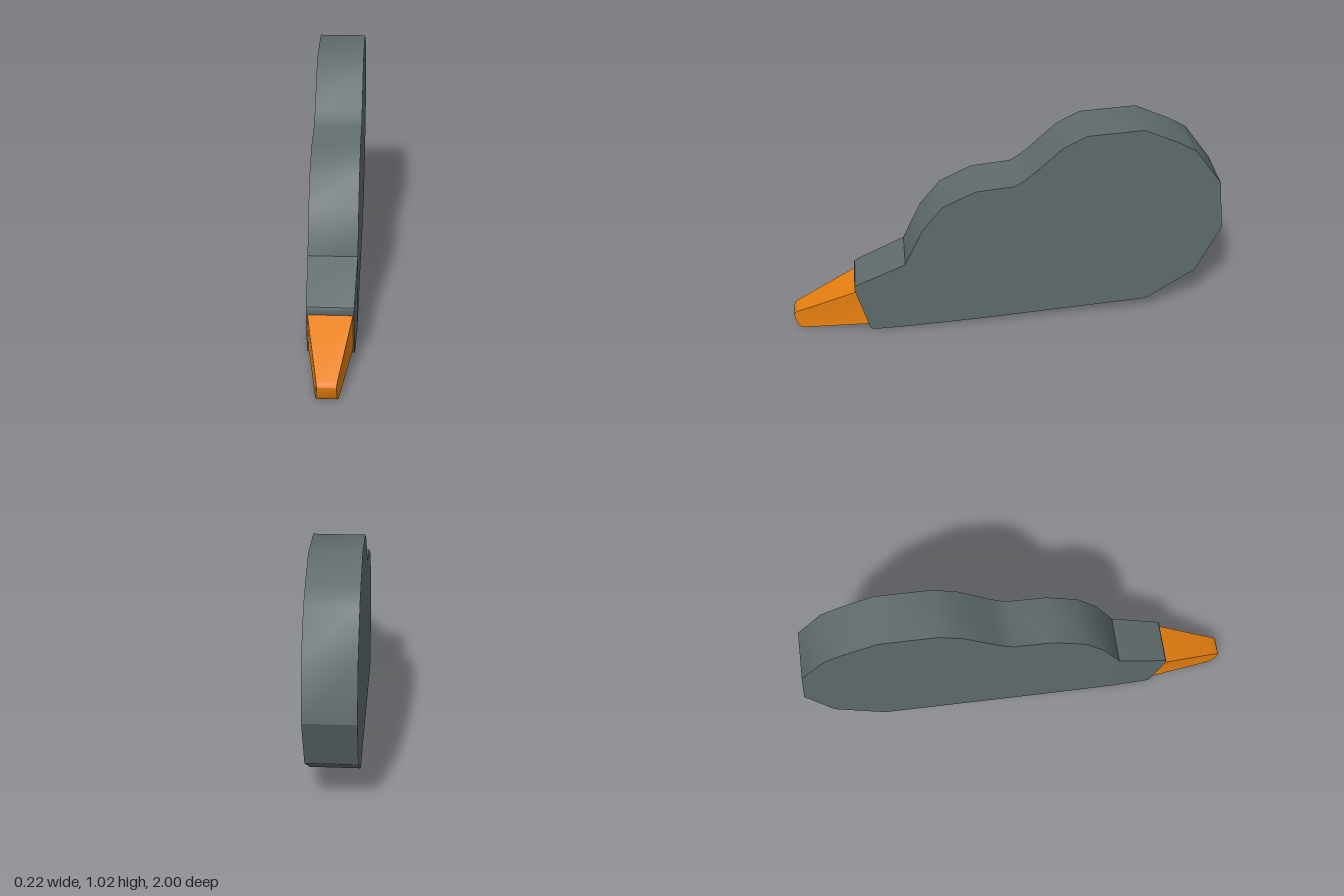
import * as THREE from 'three';
import { toCreasedNormals } from 'three/addons/utils/BufferGeometryUtils.js';

// Extrude a (z, y) side outline across x; halfWidth(z) gives the taper.
function slab(name, outline, halfWidth, material) {
  const shape = new THREE.Shape(outline.map(([z, y]) => new THREE.Vector2(z, y)));
  const geo = new THREE.ExtrudeGeometry(shape, { depth: 2, bevelEnabled: false });
  geo.translate(0, 0, -1).rotateY(-Math.PI / 2);
  const p = geo.attributes.position;
  for (let i = 0; i < p.count; i++) p.setX(i, Math.sign(p.getX(i)) * halfWidth(p.getZ(i)));
  const mesh = new THREE.Mesh(toCreasedNormals(geo, 0.543), material);
  mesh.name = name;
  return mesh;
}

export function createModel() {
  const grey = new THREE.MeshStandardMaterial({ name: 'slate grey', color: 0x606b6d });
  const orange = new THREE.MeshStandardMaterial({ name: 'orange', color: 0xe67f10 });
  const lerp = THREE.MathUtils.mapLinear;
  const group = new THREE.Group();
  group.name = 'taperedDispenser';

  // Rounded two-lobed body
  const body = [
    [0.465, 0.013], [0.1, 0.03], [-0.67, 0.08], [-0.895, 0.235], [-1, 0.475],
    [-0.967, 0.725], [-0.84, 0.9], [-0.755, 0.95], [-0.6, 1.023], [-0.35, 1.01],
    [-0.245, 0.955], [-0.12, 0.835], [-0.075, 0.797], [-0.035, 0.773],
    [0.14, 0.757], [0.285, 0.685], [0.38, 0.565], [0.465, 0.38],
  ].reverse();
  group.add(slab('body', body, () => 0.108, grey));

  // Nose narrowing slightly towards the tip, with rounded front corners
  const nose = [
    [0.465, 0.013], [0.62, 0.006], [0.637, 0.008], [0.648, 0.021],
    [0.703, 0.238], [0.705, 0.258], [0.701, 0.268], [0.69, 0.275], [0.465, 0.38],
  ];
  group.add(slab('nose', nose, z => lerp(z, 0.465, 0.705, 0.108, 0.1), grey));

  // Wedge-shaped applicator tip
  const tip = [
    [0.64, 0.035], [0.95, 0.003], [0.968, 0.003], [0.98, 0.01], [0.987, 0.022],
    [0.998, 0.06], [1, 0.077], [0.995, 0.088], [0.983, 0.097], [0.695, 0.233],
  ];
  group.add(slab('tip', tip, z => Math.min(0.096, lerp(z, 0.7, 1, 0.096, 0.04)), orange));

  return group;
}
